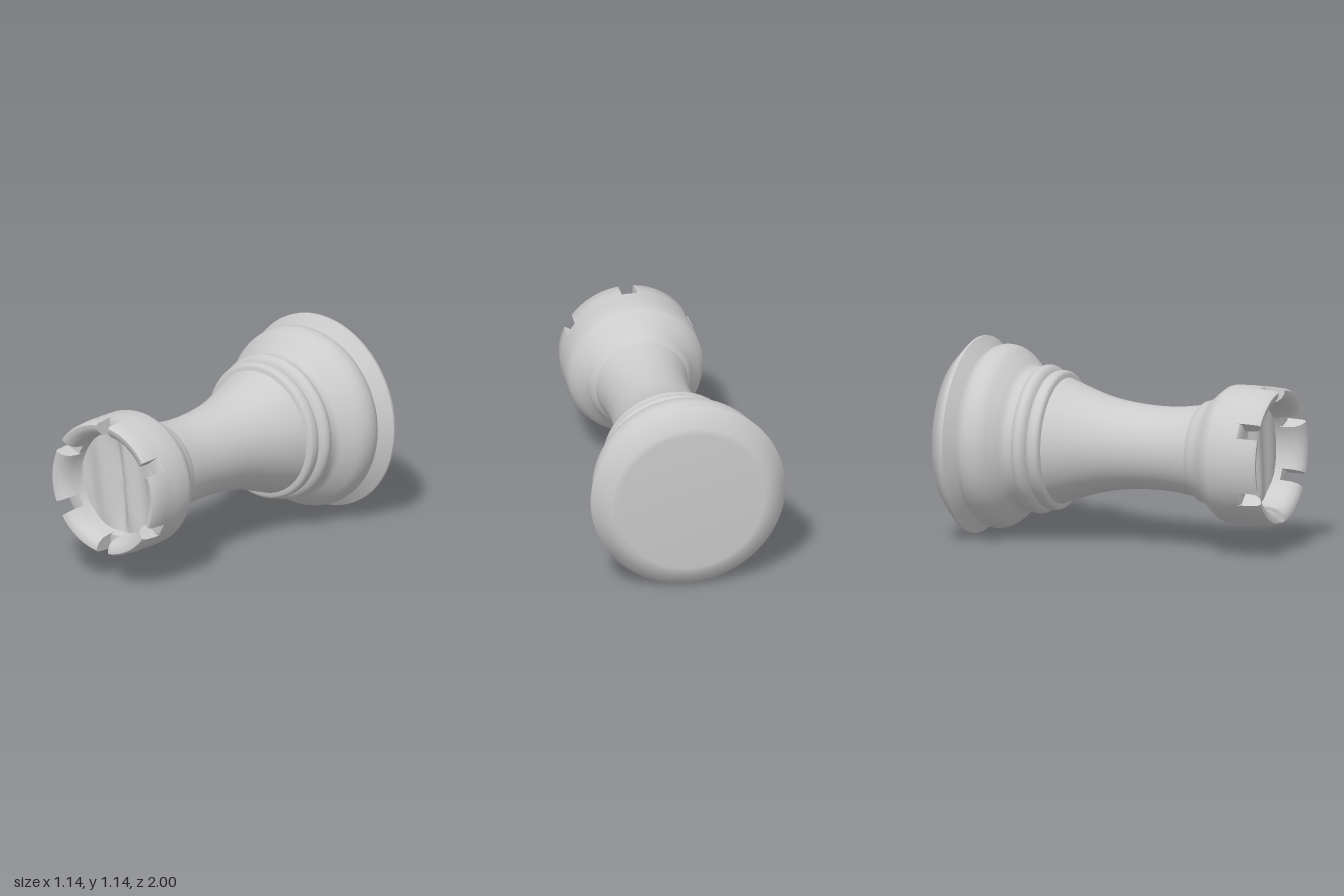
import * as THREE from 'three';
import { mergeGeometries, toCreasedNormals } from 'three/addons/utils/BufferGeometryUtils.js';

const CENTRE = 0.575;
const material = new THREE.MeshStandardMaterial({ color: 0xcccccc, side: THREE.DoubleSide });

// Points are [radius, position along the piece]
const toPoints = (list) => list.map(([r, h]) => new THREE.Vector2(r, h));
const smooth = (list, n) => new THREE.SplineCurve(toPoints(list)).getPoints(n);

function turned(points, segments = 96, start = 0, length = Math.PI * 2) {
  return toCreasedNormals(new THREE.LatheGeometry(points, segments, start, length), 0.85);
}

function addMesh(parent, name, geometry) {
  const mesh = new THREE.Mesh(geometry, material);
  mesh.name = name;
  parent.add(mesh);
  return mesh;
}

// One battlement: a curved block with a rounded inner lip and flat ends
function merlonGeometry(start, length) {
  const profile = toPoints([
    [0.4, 0.8], [0.402, 0.9], [0.396, 0.985], [0.385, 1], [0.365, 0.998],
    [0.34, 0.985], [0.318, 0.955], [0.308, 0.91], [0.3, 0.8],
  ]);
  const parts = [turned(profile, 12, start, length)];
  for (const phi of [start, start + length]) {
    const end = new THREE.ShapeGeometry(new THREE.Shape(profile)).toNonIndexed();
    end.rotateY(phi - Math.PI / 2);
    parts.push(end);
  }
  return mergeGeometries(parts);
}

// Uneven, folded floor inside the crown
function floorGeometry() {
  const geometry = new THREE.RingGeometry(0.001, 0.32, 64, 12);
  geometry.rotateX(-Math.PI / 2);
  const p = geometry.attributes.position;
  for (let i = 0; i < p.count; i++) {
    const x = p.getX(i), z = p.getZ(i);
    const across = x - 0.12 * z;
    const fade = 1 - Math.pow(Math.hypot(x, z) / 0.33, 4);
    const fold = -0.035 * Math.exp(-Math.pow((across + 0.02) / 0.035, 2)) + 0.012 * Math.sin(across * 32);
    p.setY(i, 0.835 + fold * fade);
  }
  geometry.computeVertexNormals();
  return geometry;
}

export function createModel() {
  const group = new THREE.Group();
  const piece = new THREE.Group();
  piece.name = 'rook';
  piece.rotation.x = Math.PI / 2; // lies on its side, crown to the front
  piece.position.y = CENTRE;
  group.add(piece);

  // Base: flat foot with a sharp rim
  addMesh(piece, 'foot', turned(toPoints([
    [0, -1], [0.43, -1], [0.47, -0.997], [0.572, -0.905], [0.572, -0.89], [0.495, -0.835],
  ])));

  // Fat bulge above the foot, sweeping in to a waist
  addMesh(piece, 'bulge', turned(smooth([
    [0.495, -0.837], [0.524, -0.795], [0.533, -0.74], [0.515, -0.68], [0.465, -0.62],
    [0.422, -0.575], [0.412, -0.53], [0.42, -0.515],
  ], 32)));

  // Two collar rings
  addMesh(piece, 'lowerCollar', turned(smooth([
    [0.412, -0.525], [0.43, -0.5], [0.429, -0.47], [0.41, -0.45], [0.388, -0.44],
  ], 16)));
  addMesh(piece, 'upperCollar', turned(smooth([
    [0.386, -0.445], [0.402, -0.425], [0.405, -0.395], [0.396, -0.37], [0.36, -0.36],
  ], 16)));

  // Slender flared shaft
  addMesh(piece, 'shaft', turned(smooth([
    [0.365, -0.362], [0.325, -0.25], [0.284, -0.12], [0.257, 0.02], [0.243, 0.2],
    [0.248, 0.36], [0.27, 0.51],
  ], 32)));

  // Crown: flared cup wall, up to the bottom of the notches
  addMesh(piece, 'crownCup', turned(toPoints([
    [0.268, 0.5], [0.292, 0.525], [0.302, 0.56], [0.318, 0.59], [0.36, 0.635], [0.392, 0.675],
    [0.4, 0.7], [0.402, 0.8], [0.4, 0.875], [0.385, 0.885], [0.31, 0.88], [0.3, 0.83],
  ])));
  addMesh(piece, 'crownFloor', floorGeometry());

  // Six battlements separated by narrow notches
  const step = Math.PI / 3, halfGap = 0.115;
  for (let i = 0; i < 6; i++) {
    addMesh(piece, `battlement${i + 1}`, merlonGeometry(i * step + halfGap, step - 2 * halfGap));
  }
  return group;
}
